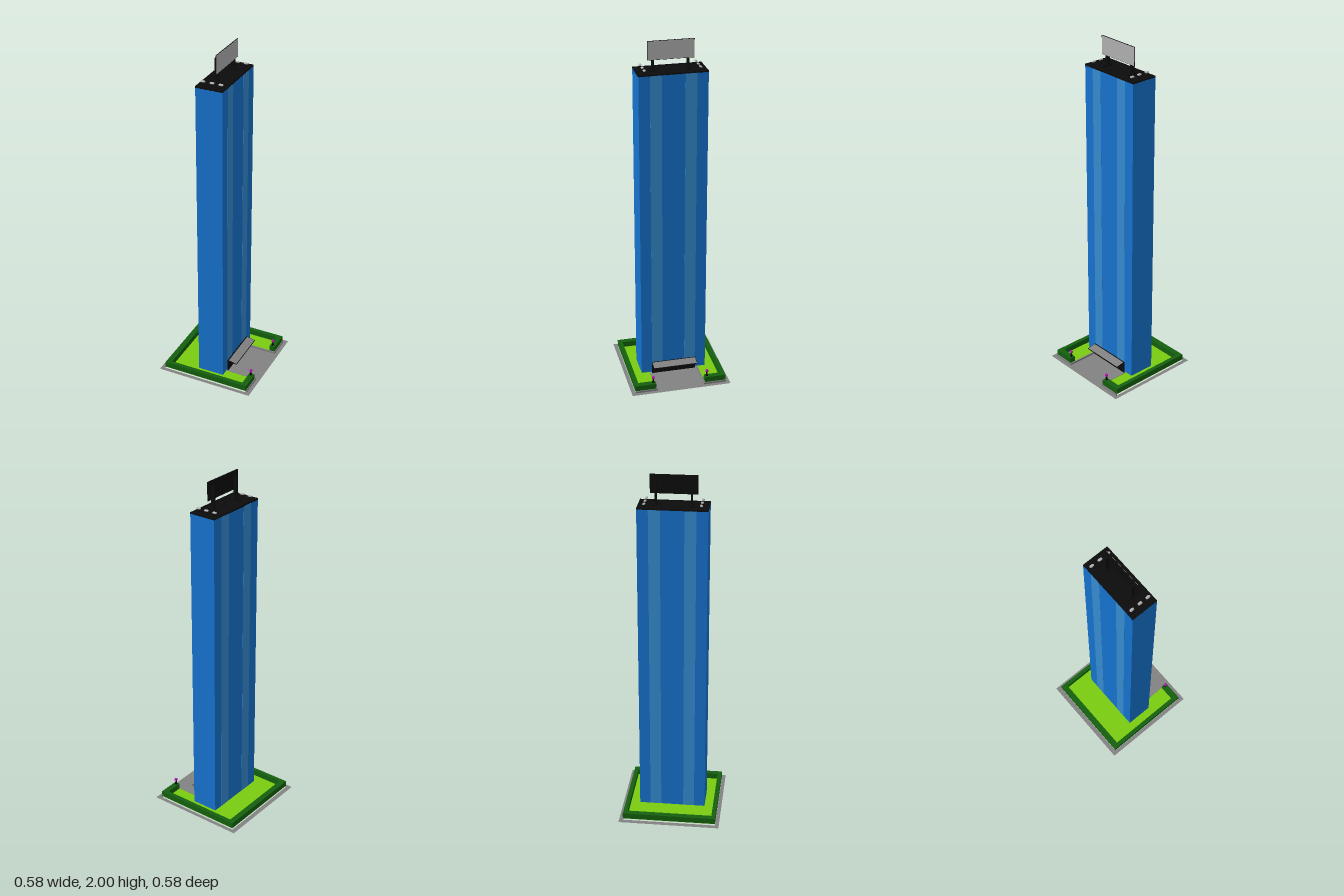
import * as THREE from 'three';

const mat = (color, side = THREE.FrontSide) => new THREE.MeshStandardMaterial({ color, side });
const blue = mat(0x1673cf), glass = mat(0x368cd0), black = mat(0x0c0c0c);
const hedgeGreen = mat(0x14600f), lawnGreen = mat(0x7acc10, THREE.DoubleSide);
const paving = mat(0x828282, THREE.DoubleSide), grey = mat(0xb0b0b0), magenta = mat(0xc010c0);

export function createModel() {
  const model = new THREE.Group();
  const add = (name, geo, m, x = 0, y = 0, z = 0, parent = model) => {
    const mesh = new THREE.Mesh(geo, m);
    mesh.name = name;
    mesh.position.set(x, y, z);
    parent.add(mesh);
    return mesh;
  };
  // Box given by its minimum and maximum corners
  const box = (name, m, [x0, y0, z0], [x1, y1, z1], parent = model) =>
    add(name, new THREE.BoxGeometry(x1 - x0, y1 - y0, z1 - z0), m,
      (x0 + x1) / 2, (y0 + y1) / 2, (z0 + z1) / 2, parent);
  // Ground plan points are (x, -z), laid flat by a quarter turn
  const outline = (pts) => pts.map(([x, z]) => new THREE.Vector2(x, -z));

  // C-shaped garden plot, open toward the plaza at +x
  const plot = outline([[0.265, -0.143], [0.265, -0.268], [-0.263, -0.268], [-0.263, 0.268],
    [0.265, 0.268], [0.265, 0.143], [0.078, 0.143], [0.078, -0.143]]);
  const pavingShape = new THREE.Shape(outline([[-0.29, -0.29], [0.29, -0.29], [0.29, 0.29], [-0.29, 0.29]]));
  pavingShape.holes.push(new THREE.Path(plot));
  add('pavement', new THREE.ShapeGeometry(pavingShape).rotateX(-Math.PI / 2), paving, 0, 0.001, 0);
  add('lawn', new THREE.ShapeGeometry(new THREE.Shape(plot)).rotateX(-Math.PI / 2), lawnGreen, 0, 0.01, 0);

  // Hedge around the plot, with its two ends at the plaza
  const hedgeShape = new THREE.Shape(outline([[0.262, -0.145], [0.262, -0.268], [-0.263, -0.268],
    [-0.263, 0.268], [0.262, 0.268], [0.262, 0.145], [0.229, 0.145], [0.229, 0.244],
    [-0.23, 0.244], [-0.23, -0.244], [0.229, -0.244], [0.229, -0.145]]));
  const hedgeGeo = new THREE.ExtrudeGeometry(hedgeShape, { depth: 0.033, bevelEnabled: false });
  add('hedge', hedgeGeo.rotateX(-Math.PI / 2), hedgeGreen, 0, 0.011, 0);

  // Tower with light glass bands on both broad faces
  box('tower', blue, [-0.079, 0.006, -0.191], [0.078, 1.83, 0.191]);
  box('towerFloor', grey, [-0.078, 0.004, -0.19], [0.077, 0.006, 0.19]);
  for (const s of [-1, 1]) {
    const z = s * 0.097;
    box('glassBand', glass, [-0.0798, 0.006, z - 0.032], [0.0788, 1.829, z + 0.032]);
  }

  // Roof slab with a low parapet
  box('roof', black, [-0.079, 1.828, -0.191], [0.078, 1.833, 0.191]);
  for (const s of [-1, 1]) {
    box('parapetEnd', black, [-0.079, 1.83, s * 0.188 - 0.003], [0.078, 1.838, s * 0.188 + 0.003]);
    box('parapetSide', black, [s * 0.076 - 0.003, 1.83, -0.191], [s * 0.076 + 0.002, 1.838, 0.191]);
  }

  // Rooftop lamps: thin post, splayed foot and oval head
  for (const s of [-1, 1]) {
    for (const x of [-0.053, 0, 0.051]) {
      const lamp = new THREE.Group();
      lamp.name = 'roofLamp';
      lamp.position.set(x, 1.833, s * 0.153);
      add('lampPost', new THREE.CylinderGeometry(0.002, 0.004, 0.018, 8), black, 0, 0.009, 0, lamp);
      const head = add('lampHead', new THREE.CapsuleGeometry(0.008, 0.011, 4, 10).rotateZ(Math.PI / 2),
        grey, 0, 0.021, 0, lamp);
      head.scale.y = 0.6;
      head.rotation.x = s * 0.25;
      model.add(lamp);
    }
  }

  // Billboard facing +x on two tapered supports
  box('billboardBack', black, [0.009, 1.895, -0.129], [0.013, 2, 0.129]);
  box('billboardFace', grey, [0.012, 1.897, -0.127], [0.0145, 1.998, 0.127]);
  const legShape = new THREE.Shape();
  [[-0.03, 1.833], [0.03, 1.833], [0.03, 1.843], [0.015, 1.847], [0.011, 1.87], [0.011, 1.972],
    [-0.011, 1.972], [-0.011, 1.88], [-0.015, 1.847], [-0.03, 1.843]]
    .forEach(([x, y], i) => (i ? legShape.lineTo(x, y) : legShape.moveTo(x, y)));
  const legGeo = new THREE.ExtrudeGeometry(legShape, { depth: 0.01, bevelEnabled: false });
  for (const s of [-1, 1]) {
    add('billboardSupport', legGeo, black, 0, 0, s * 0.097 - 0.005);
    box('supportFoot', black, [-0.017, 1.833, s * 0.097 - 0.011], [0.017, 1.846, s * 0.097 + 0.011]);
  }

  // Entrance wall and sloping canopy
  box('entrance', black, [0.076, 0.004, -0.13], [0.085, 0.076, 0.13]);
  const canopy = new THREE.Group();
  canopy.name = 'canopy';
  canopy.position.set(0.084, 0.077, 0);
  canopy.rotation.z = -0.18;
  box('canopyFrame', black, [0, -0.003, -0.131], [0.056, 0, 0.131], canopy);
  box('canopyTop', paving, [0.003, -0.002, -0.128], [0.053, 0.001, 0.128], canopy);
  model.add(canopy);

  // Curbs along the plaza edges and the two gate posts
  for (const s of [-1, 1]) {
    box('plazaCurb', paving, [0.078, 0.001, s * 0.1415 - 0.0035], [0.267, 0.012, s * 0.1415 + 0.0035]);
    box('streetCurb', paving, [0.262, 0.001, s * 0.205 - 0.063], [0.267, 0.012, s * 0.205 + 0.063]);
    add('gatePost', new THREE.CylinderGeometry(0.003, 0.008, 0.032, 4, 1).rotateY(Math.PI / 4),
      black, 0.244, 0.058, s * 0.159);
    box('gateLight', magenta, [0.238, 0.071, s * 0.159 - 0.007], [0.25, 0.083, s * 0.159 + 0.007]);
  }
  return model;
}
